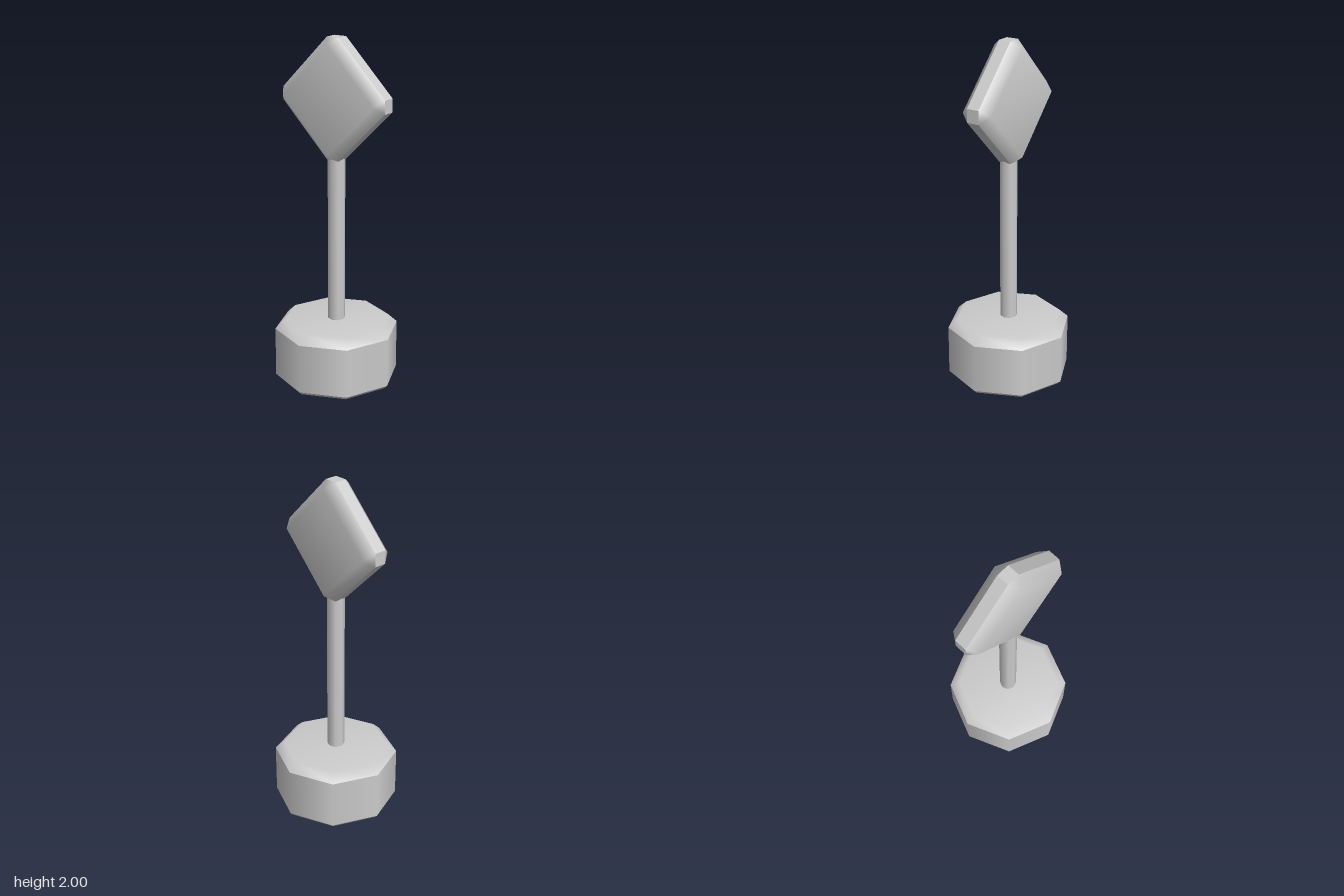
import * as THREE from 'three';

const material = new THREE.MeshStandardMaterial({ color: 0xcccccc });

function addMesh(parent, geometry, name) {
  const mesh = new THREE.Mesh(geometry, material);
  mesh.name = name;
  parent.add(mesh);
  return mesh;
}

// Eight-sided surface of revolution, corners on the x and z axes
function lathe(points) {
  return new THREE.LatheGeometry(points.map(([r, y]) => new THREE.Vector2(r, y)), 8);
}

// Outline of the panel: a diamond whose four tips are cut square
const TIP = 0.343, CUT = 0.038, INNER = 0.305, FACE_Z = 0.09, RIM_Z = 0.036;

function turn(x, y, k) {
  const v = new THREE.Vector2(x, y).rotateAround(new THREE.Vector2(), k * Math.PI / 2);
  return [v.x, v.y];
}

// Flat diamond with its bevels, sharing vertices for soft shading
function panelFace() {
  const positions = [], index = [0, 3, 6, 0, 6, 9];
  for (let k = 0; k < 4; k++) {
    positions.push(...turn(INNER, 0, k), FACE_Z);
    positions.push(...turn(TIP, -CUT, k), RIM_Z);
    positions.push(...turn(TIP, CUT, k), RIM_Z);
    const i = k * 3, next = (i + 3) % 12;
    index.push(i, i + 1, i + 2); // tip
    index.push(i, i + 2, next + 1, i, next + 1, next); // bevel
  }
  const geometry = new THREE.BufferGeometry();
  geometry.setAttribute('position', new THREE.Float32BufferAttribute(positions, 3));
  geometry.setIndex(index);
  geometry.computeVertexNormals();
  return geometry;
}

// Flat-shaded band around the panel
function panelRim() {
  const outline = [], positions = [];
  for (let k = 0; k < 4; k++) outline.push(turn(TIP, -CUT, k), turn(TIP, CUT, k));
  outline.forEach((p, j) => {
    const q = outline[(j + 1) % 8];
    const a = [...p, -RIM_Z], b = [...q, -RIM_Z], c = [...q, RIM_Z], d = [...p, RIM_Z];
    positions.push(...a, ...b, ...c, ...a, ...c, ...d);
  });
  const geometry = new THREE.BufferGeometry();
  geometry.setAttribute('position', new THREE.Float32BufferAttribute(positions, 3));
  geometry.computeVertexNormals();
  return geometry;
}

export function createModel() {
  const model = new THREE.Group();
  model.name = 'signPost';

  // Octagonal base: separate bands keep the edges between them sharp
  const base = new THREE.Group();
  base.name = 'base';
  addMesh(base, lathe([[0, 0], [0.34, 0]]), 'baseUnderside');
  addMesh(base, lathe([[0.34, 0], [0.36, 0.02]]), 'baseLowerBevel');
  addMesh(base, lathe([[0.36, 0.02], [0.36, 0.31]]), 'baseWall');
  addMesh(base, lathe([[0.36, 0.31], [0.305, 0.36], [0, 0.36]]), 'baseTop');
  model.add(base);

  // Post, its ends sunk into base and panel
  const post = addMesh(model, new THREE.CylinderGeometry(0.05, 0.05, 1.05, 8), 'post');
  post.position.y = 0.875;

  // Diamond panel
  const panel = new THREE.Group();
  panel.name = 'panel';
  addMesh(panel, panelFace(), 'panelFront');
  addMesh(panel, panelFace().rotateY(Math.PI), 'panelBack');
  addMesh(panel, panelRim(), 'panelRim');
  panel.position.y = 2 - TIP;
  model.add(panel);

  return model;
}
